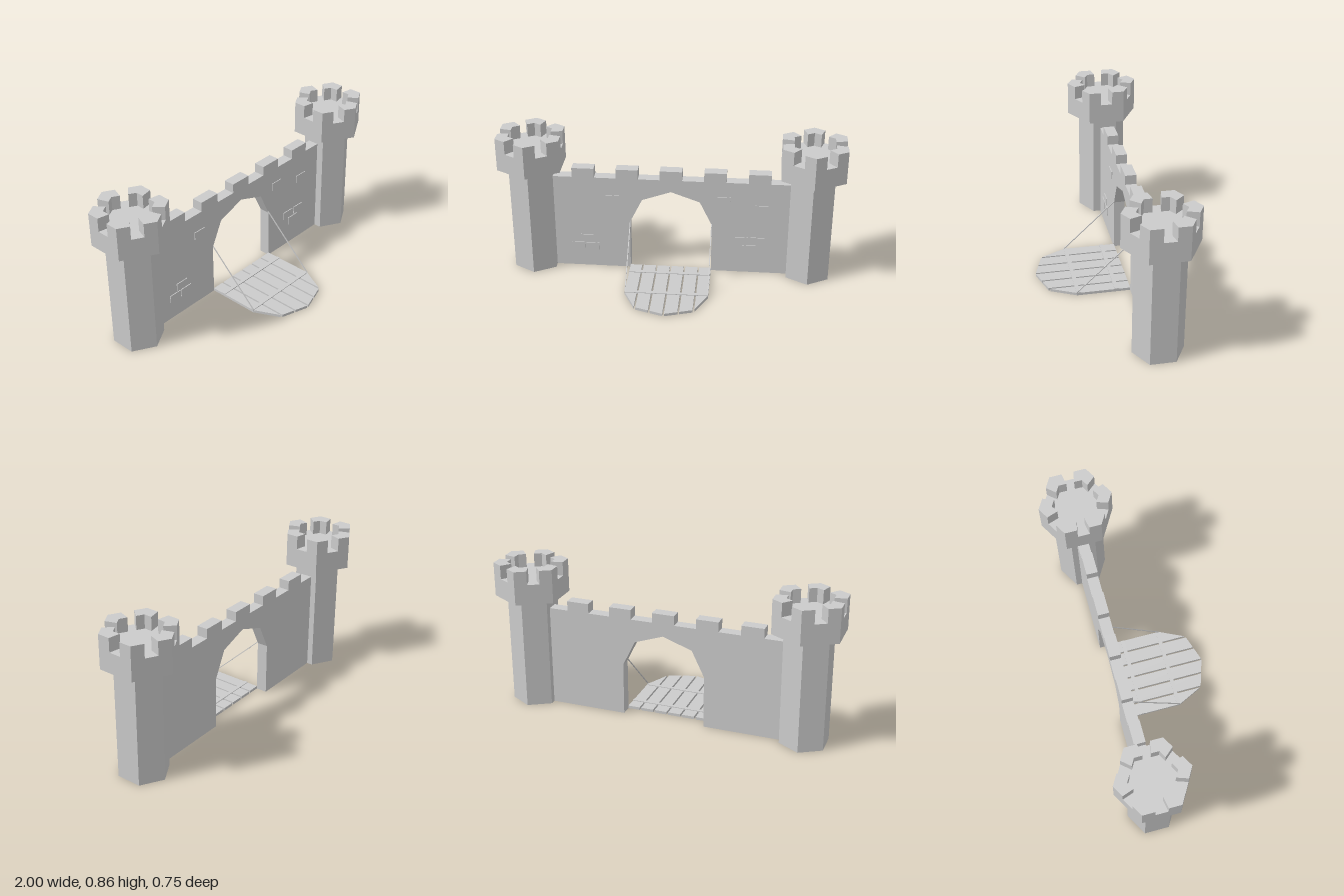
import * as THREE from 'three';

const MAT = new THREE.MeshStandardMaterial({ color: 0xcccccc, flatShading: true });

function add(parent, name, geometry, x = 0, y = 0, z = 0) {
  const mesh = new THREE.Mesh(geometry, MAT);
  mesh.name = name;
  mesh.position.set(x, y, z);
  parent.add(mesh);
  return mesh;
}

const polygon = (pts) => new THREE.Shape(pts.map(([x, y]) => new THREE.Vector2(x, y)));

// Extrude an outline given as [x, z] upwards from y = 0
function slab(pts, height) {
  const g = new THREE.ExtrudeGeometry(polygon(pts), { depth: height, bevelEnabled: false });
  return g.rotateX(Math.PI / 2).translate(0, height, 0);
}

// Corner i of a hexagon with a corner towards +z, and a point along an edge
const corner = (r, i) => [r * Math.sin(i * Math.PI / 3), r * Math.cos(i * Math.PI / 3)];
function along(r, i, j, t) {
  const a = corner(r, i), b = corner(r, j);
  return [a[0] + (b[0] - a[0]) * t, a[1] + (b[1] - a[1]) * t];
}

function createTower() {
  const tower = new THREE.Group();
  const R = 0.211, r = 0.135;
  add(tower, 'towerShaft', new THREE.CylinderGeometry(0.143, 0.143, 0.66, 6), 0, 0.33, 0);
  add(tower, 'towerCrown', new THREE.CylinderGeometry(R, R, 0.118, 6), 0, 0.717, 0);
  // One merlon wraps each corner, with a tapering gap in every side
  for (let i = 0; i < 6; i++) {
    const t = 0.335;
    add(tower, 'towerMerlon', slab([
      along(R, i, i - 1, t), corner(R, i), along(R, i, i + 1, t),
      along(r, i, i + 1, t), corner(r, i), along(r, i, i - 1, t),
    ], 0.08), 0, 0.776, 0);
  }
  return tower;
}

function createWall() {
  const wall = new THREE.Group();
  wall.name = 'wall';
  // Battlement outline and faceted arch in a single profile
  const pts = [
    [-0.72, 0], [-0.243, 0], [-0.243, 0.31], [-0.17, 0.46], [0, 0.52],
    [0.17, 0.46], [0.243, 0.31], [0.243, 0], [0.72, 0], [0.72, 0.595],
  ];
  for (let i = 2; i >= -2; i--) {
    const x = i * 0.258, w = 0.065;
    pts.push([x + w, 0.595], [x + w, 0.652], [x - w, 0.652], [x - w, 0.595]);
  }
  pts.push([-0.72, 0.595]);
  add(wall, 'gateWall', new THREE.ExtrudeGeometry(polygon(pts), { depth: 0.065, bevelEnabled: false }), 0, 0, -0.205);

  // Slightly raised bricks on the front: centre x, centre y
  const bricks = [
    [-0.345, 0.46], [-0.5, 0.19], [-0.555, 0.135], [-0.47, 0.135],
    [0.31, 0.478], [0.535, 0.43], [0.42, 0.215], [0.515, 0.215], [0.465, 0.16],
  ];
  for (const [x, y] of bricks) {
    add(wall, 'raisedBrick', new THREE.BoxGeometry(0.08, 0.048, 0.008), x, y, -0.139);
  }
  return wall;
}

function createDrawbridge() {
  const bridge = new THREE.Group();
  bridge.name = 'drawbridge';
  // Front edge of the bridge repeats the arch
  const tip = (x) => {
    const a = Math.abs(x);
    return a < 0.17 ? 0.377 - 0.055 * a / 0.17 : 0.322 - 0.152 * (a - 0.17) / 0.073;
  };
  const edges = [-0.248, -0.168, -0.084, 0, 0.084, 0.168, 0.248];
  for (let i = 0; i < 6; i++) {
    const a = edges[i] + 0.005, b = edges[i + 1] - 0.005;
    add(bridge, 'plank', slab([[a, -0.14], [b, -0.14], [b, tip(b)], [a, tip(a)]], 0.016));
  }
  for (const z of [-0.06, 0.163]) {
    add(bridge, 'crossBar', new THREE.BoxGeometry(0.486, 0.01, 0.022), 0, 0.015, z);
  }
  // Chains from the bridge edge to the springing of the arch
  for (const s of [-1, 1]) {
    const from = new THREE.Vector3(s * 0.241, 0.016, 0.173);
    const to = new THREE.Vector3(s * 0.241, 0.32, -0.143);
    const chain = add(bridge, 'chain', new THREE.BoxGeometry(0.005, 0.005, from.distanceTo(to)));
    chain.position.copy(from).add(to).multiplyScalar(0.5);
    chain.lookAt(to);
  }
  return bridge;
}

export function createModel() {
  const model = new THREE.Group();
  model.name = 'castleGate';
  for (const [name, x] of [['leftTower', 0.817], ['rightTower', -0.817]]) {
    const tower = createTower();
    tower.name = name;
    tower.position.set(x, 0, -0.168);
    model.add(tower);
  }
  model.add(createWall(), createDrawbridge());
  return model;
}
